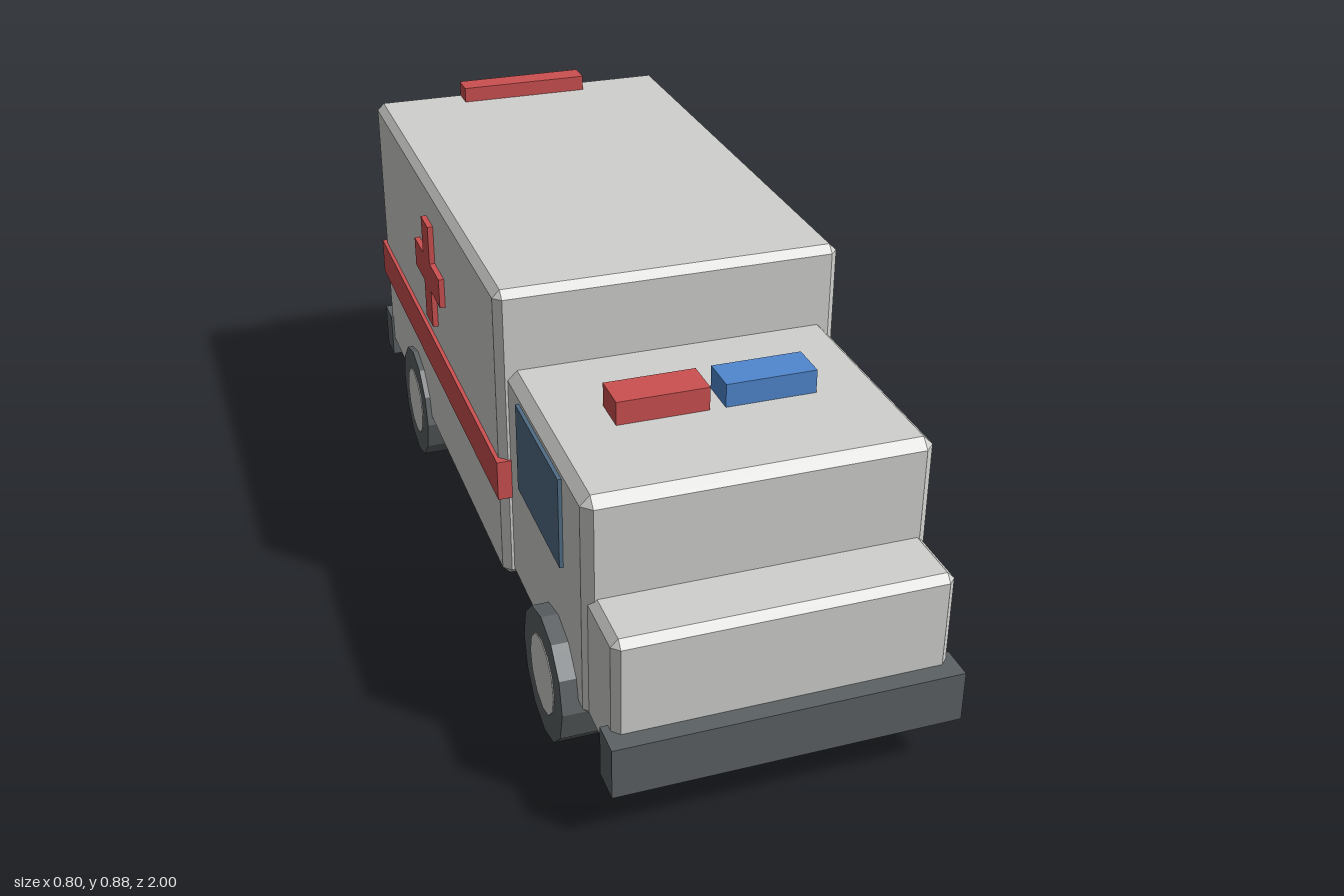
import * as THREE from 'three';
import { ConvexGeometry } from 'three/addons/geometries/ConvexGeometry.js';

const material = (name, color) => {
  const m = new THREE.MeshStandardMaterial({ color });
  m.name = name;
  return m;
};

export function createModel() {
  const white = material('body white', 0xd0d0ce);
  const red = material('signal red', 0xcc5050);
  const blue = material('signal blue', 0x4f87cf);
  const dark = material('rubber grey', 0x5c6164);
  const glass = material('window glass', 0x506d85);

  const model = new THREE.Group();
  model.name = 'ambulance';

  const add = (name, geometry, mat, parent = model) => {
    const mesh = new THREE.Mesh(geometry, mat);
    mesh.name = name;
    parent.add(mesh);
    return mesh;
  };

  // Plain box given by its limits on each axis
  const box = (name, mat, [x0, x1], [y0, y1], [z0, z1]) => {
    const mesh = add(name, new THREE.BoxGeometry(x1 - x0, y1 - y0, z1 - z0), mat);
    mesh.position.set((x0 + x1) / 2, (y0 + y1) / 2, (z0 + z1) / 2);
    return mesh;
  };

  // Box with every edge cut by a flat chamfer c
  const chamferBox = (name, halfWidth, [y0, y1], [z0, z1], c) => {
    const hx = halfWidth, hy = (y1 - y0) / 2, hz = (z1 - z0) / 2;
    const points = [];
    for (const sx of [-1, 1]) for (const sy of [-1, 1]) for (const sz of [-1, 1]) {
      points.push(
        new THREE.Vector3(sx * hx, sy * (hy - c), sz * (hz - c)),
        new THREE.Vector3(sx * (hx - c), sy * hy, sz * (hz - c)),
        new THREE.Vector3(sx * (hx - c), sy * (hy - c), sz * hz));
    }
    const mesh = add(name, new ConvexGeometry(points), white);
    mesh.position.set(0, (y0 + y1) / 2, (z0 + z1) / 2);
  };

  // Raised cross, facing +z before it is turned
  const cross = (name, r, t, depth) => {
    const shape = new THREE.Shape([
      [t, r], [-t, r], [-t, t], [-r, t], [-r, -t], [-t, -t],
      [-t, -r], [t, -r], [t, -t], [r, -t], [r, t], [t, t],
    ].map(([x, y]) => new THREE.Vector2(x, y)));
    return add(name, new THREE.ExtrudeGeometry(shape, { depth, bevelEnabled: false }), red);
  };

  // Body
  chamferBox('rearCompartment', 0.385, [0.148, 0.846], [-0.956, 0.28], 0.017);
  chamferBox('cab', 0.362, [0.148, 0.663], [0.25, 0.815], 0.021);
  chamferBox('hood', 0.352, [0.15, 0.441], [0.75, 0.96], 0.016);
  box('stripe', red, [-0.394, 0.394], [0.357, 0.45], [-0.96, 0.285]);

  // Bumpers
  box('frontBumper', dark, [-0.368, 0.368], [0.116, 0.23], [0.926, 1]);
  box('rearBumper', dark, [-0.391, 0.391], [0.116, 0.23], [-1, -0.925]);

  // Roof lights
  box('redCabLight', red, [-0.216, -0.018], [0.655, 0.715], [0.479, 0.565]);
  box('blueCabLight', blue, [0.016, 0.214], [0.655, 0.715], [0.479, 0.565]);
  box('rearRoofLight', red, [-0.161, 0.161], [0.84, 0.883], [-0.941, -0.881]);

  // Rear cross
  const rearCross = cross('rearCross', 0.113, 0.032, 0.014);
  rearCross.rotation.y = Math.PI;
  rearCross.position.set(0, 0.59, -0.953);

  for (const side of [-1, 1]) {
    const label = side > 0 ? 'left' : 'right';

    // Side cross and cab window
    const sideCross = cross(label + 'Cross', 0.13, 0.036, 0.016);
    sideCross.rotation.y = side * Math.PI / 2;
    sideCross.position.set(side * 0.382, 0.627, -0.338);
    const pane = box(label + 'Window', glass, [-0.0045, 0.0045], [0.43, 0.633], [0.367, 0.677]);
    pane.position.x = side * 0.3655;

    // Wheels: twelve-sided tyre with a hub showing on both faces
    for (const [end, z] of [['Front', 0.63], ['Rear', -0.591]]) {
      const wheel = new THREE.Group();
      wheel.name = label + end + 'Wheel';
      wheel.rotation.z = Math.PI / 2;
      wheel.position.set(side * 0.352, 0.143, z);
      model.add(wheel);
      const tyre = new THREE.CylinderGeometry(0.143, 0.143, 0.092, 12).toNonIndexed();
      tyre.computeVertexNormals();
      add('tyre', tyre, dark, wheel);
      const hub = new THREE.CylinderGeometry(0.086, 0.086, 0.096, 12).toNonIndexed();
      hub.computeVertexNormals();
      add('hub', hub, white, wheel);
    }
  }
  return model;
}
